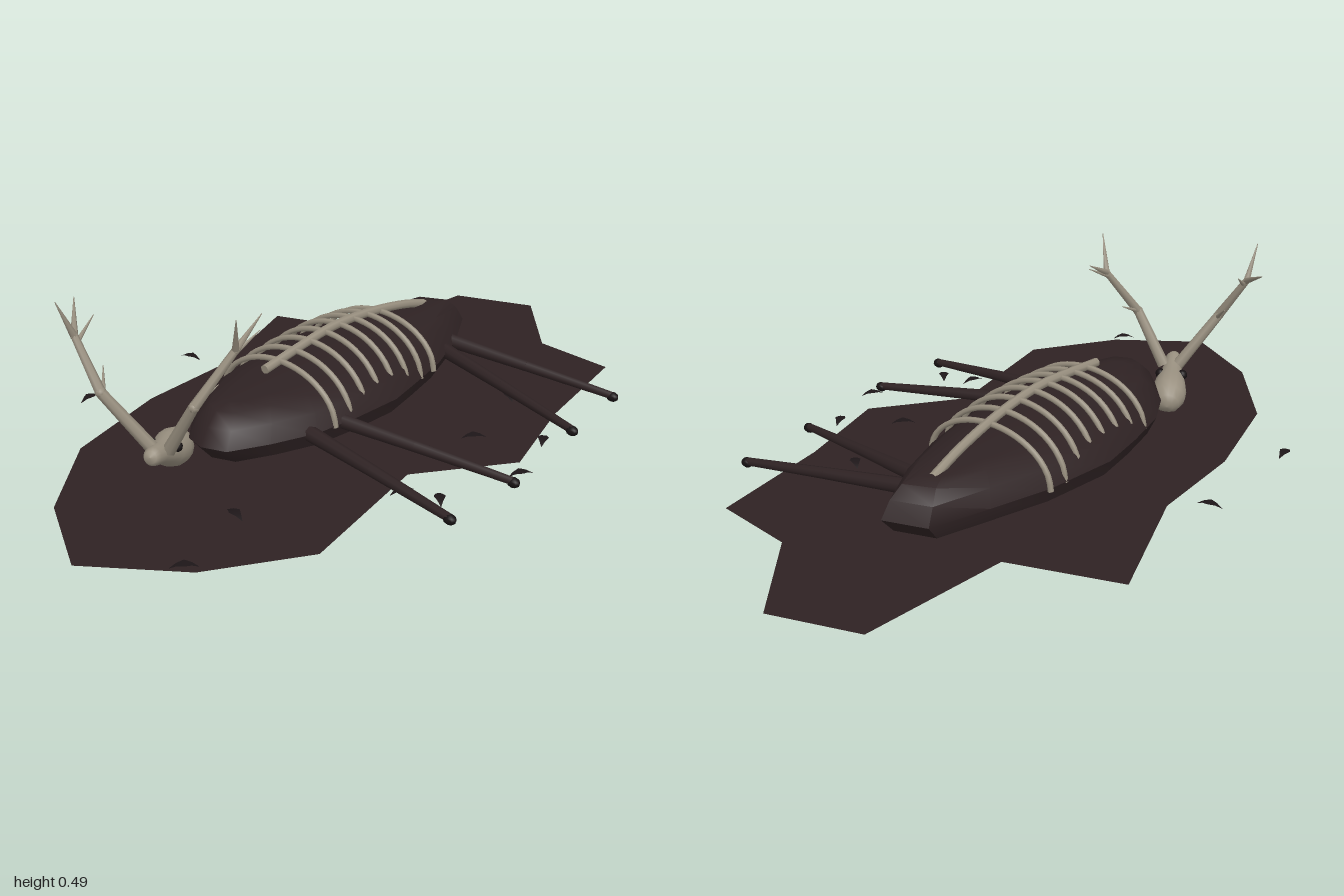
import * as THREE from 'three';
import { toCreasedNormals } from 'three/addons/utils/BufferGeometryUtils.js';

const material = (name, color, side = THREE.FrontSide) =>
  Object.assign(new THREE.MeshStandardMaterial({ color, side }), { name });
const V = (a) => new THREE.Vector3(...a);

export function createModel() {
  const root = new THREE.Group();
  const hide = material('dark hide', 0x2e2223);
  const stain = material('ground stain', 0x2e2223, THREE.DoubleSide);
  const bone = material('old bone', 0x999080);
  const black = material('soot black', 0x171213);
  const leafMat = material('dead leaf', 0x1d1618, THREE.DoubleSide);

  const add = (name, geometry, mat, parent = root) => {
    const mesh = new THREE.Mesh(geometry, mat);
    mesh.name = name;
    parent.add(mesh);
    return mesh;
  };
  const group = (name) => {
    const g = new THREE.Group();
    g.name = name;
    root.add(g);
    return g;
  };
  // Tapered rod between two points
  const rod = (name, from, to, r0, r1, mat, parent, sides = 7) => {
    const a = V(from), b = V(to), d = b.clone().sub(a);
    const mesh = add(name, new THREE.CylinderGeometry(r1, r0, d.length(), sides), mat, parent);
    mesh.position.copy(a).add(b).multiplyScalar(0.5);
    mesh.quaternion.setFromUnitVectors(new THREE.Vector3(0, 1, 0), d.normalize());
    return mesh;
  };

  // Jagged stain lying on the ground
  const edge = [[-1, 0], [-0.85, -0.23], [-0.6, -0.41], [-0.27, -0.48], [0.04, -0.48], [0.42, -0.6],
    [0.51, -0.3], [0.93, -0.24], [1, 0], [0.75, 0.19], [0.71, 0.43], [0.34, 0.47], [0.04, 0.54],
    [-0.19, 0.35], [-0.62, 0.41], [-0.85, 0.24]];
  const patch = new THREE.ShapeGeometry(new THREE.Shape(edge.map(([x, z]) => new THREE.Vector2(x, -z))));
  add('groundStain', patch.rotateX(-Math.PI / 2).translate(0, 0.014, 0), stain);

  // Carcass: one outline stacked in rings, flat below and rounded above
  const cx = 0.06, cz = -0.072;
  const outline = [[-0.5, -0.07], [-0.48, -0.13], [-0.38, -0.21], [-0.27, -0.26], [-0.12, -0.285], [0.03, -0.3],
    [0.25, -0.26], [0.42, -0.2], [0.585, -0.14], [0.62, -0.02], [0.46, 0.06], [0.3, 0.11], [0.16, 0.135],
    [0.03, 0.155], [-0.12, 0.14], [-0.26, 0.115], [-0.38, 0.06], [-0.48, 0]];
  const rings = [[0.04, 0, 0], [0.04, 0.93, 0.92], [0.085, 1, 1], [0.13, 0.95, 0.89], [0.163, 0.89, 0.68],
    [0.171, 0.8, 0.42], [0.172, 0, 0]];
  const n = outline.length, pos = [], idx = [];
  for (const [y, sx, sz] of rings)
    for (const [x, z] of outline) pos.push(cx + (x - cx) * sx, y, cz + (z - cz) * sz);
  for (let r = 0; r < rings.length - 1; r++)
    for (let i = 0; i < n; i++) {
      const a = r * n + i, b = r * n + (i + 1) % n;
      if (r > 0) idx.push(a, b + n, b);
      if (r < rings.length - 2) idx.push(a, a + n, b + n);
      if (r === 0) idx.splice(idx.length - 3, 3, a, a + n, b + n);
    }
  // Outline runs clockwise seen from above, so each triangle is flipped to face outward
  for (let i = 0; i < idx.length; i += 3) {
    const p = [0, 1, 2].map((k) => new THREE.Vector3().fromArray(pos, idx[i + k] * 3));
    const normal = p[1].clone().sub(p[0]).cross(p[2].clone().sub(p[0]));
    const out = p[0].add(p[1]).add(p[2]).divideScalar(3).sub(new THREE.Vector3(cx, 0.1, cz));
    if (normal.dot(out) < 0) [idx[i + 1], idx[i + 2]] = [idx[i + 2], idx[i + 1]];
  }
  const bodyGeo = new THREE.BufferGeometry();
  bodyGeo.setAttribute('position', new THREE.Float32BufferAttribute(pos, 3));
  bodyGeo.setIndex(idx);
  add('body', toCreasedNormals(bodyGeo, 0.75), hide);

  // Backbone and ribs
  const cage = group('ribCage');
  const spine = new THREE.CatmullRomCurve3([[-0.25, 0.212, -0.067], [-0.1, 0.23, -0.067], [0.03, 0.24, -0.068],
    [0.2, 0.228, -0.07], [0.38, 0.195, -0.074], [0.49, 0.163, -0.078]].map(V));
  add('spine', new THREE.TubeGeometry(spine, 24, 0.013, 7), bone, cage);
  rod('spineEnd', [-0.253, 0.212, -0.067], [-0.245, 0.213, -0.067], 0.013, 0.013, bone, cage);
  for (let i = 0; i < 8; i++) {
    const x = -0.197 + i * 0.0642;
    const top = spine.getPoint(THREE.MathUtils.clamp((x + 0.25) / 0.74, 0, 1)).y;
    const arc = [];
    for (let k = 0; k <= 12; k++) {
      const a = Math.PI * k / 12;
      arc.push(new THREE.Vector3(x, 0.08 + (top - 0.08) * Math.sin(a), -0.07 + 0.194 * Math.cos(a)));
    }
    add('rib', new THREE.TubeGeometry(new THREE.CatmullRomCurve3(arc), 24, 0.008, 6), bone, cage);
  }

  // Legs stretched out to the front, with hooves
  const legs = group('legs');
  for (const [x0, z0, x1, z1] of [[-0.265, 0.06, -0.328, 0.57], [-0.17, 0.06, -0.082, 0.595],
    [0.395, 0.04, 0.257, 0.57], [0.45, 0.03, 0.513, 0.555]]) {
    const mid = [(x0 + x1) / 2, 0.06, (z0 + z1) / 2];
    rod('upperLeg', [x0, 0.088, z0], mid, 0.022, 0.016, hide, legs, 8);
    rod('lowerLeg', mid, [x1, 0.03, z1], 0.016, 0.011, hide, legs, 8);
    const hoof = add('hoof', new THREE.SphereGeometry(0.014, 8, 6), black, legs);
    hoof.position.set(x1, 0.027, z1);
    hoof.scale.z = 1.3;
  }

  // Skull: a lathed egg lying on its side
  const head = group('head');
  const profile = [[0, 0], [0.016, 0.004], [0.024, 0.02], [0.027, 0.06], [0.034, 0.1], [0.045, 0.135],
    [0.051, 0.17], [0.049, 0.2], [0.035, 0.228], [0.018, 0.24], [0, 0.243]].map((p) => new THREE.Vector2(...p));
  const skull = add('skull', new THREE.LatheGeometry(profile, 16), bone, head);
  skull.position.set(-0.652, 0.11, -0.095);
  skull.quaternion.setFromUnitVectors(new THREE.Vector3(0, 1, 0), V([0.21, -0.075, -0.1]).normalize());
  for (const p of [[-0.54, 0.09, -0.113], [-0.568, 0.09, -0.172]])
    add('eyeSocket', new THREE.SphereGeometry(0.015, 10, 8), black, head).position.set(...p);

  // Antlers: list of rods [from, to, start radius, end radius]
  const antler = (name, base, bend, fork, tines) => {
    const g = group(name);
    rod('beam', base, bend, 0.018, 0.014, bone, g);
    rod('beam', bend, fork, 0.014, 0.01, bone, g);
    for (const p of [bend, fork])
      add('joint', new THREE.SphereGeometry(p === bend ? 0.0145 : 0.0105, 8, 6), bone, g).position.set(...p);
    for (const [from, to, r] of tines) rod('tine', from, to, r, 0.001, bone, g, 6);
  };
  antler('rightAntler', [-0.6, 0.1, -0.135], [-0.68, 0.26, -0.225], [-0.675, 0.385, -0.31], [
    [[-0.675, 0.385, -0.31], [-0.722, 0.487, -0.315], 0.01],
    [[-0.675, 0.385, -0.31], [-0.59, 0.44, -0.4], 0.01],
    [[-0.678, 0.37, -0.3], [-0.6, 0.415, -0.32], 0.007],
    [[-0.675, 0.25, -0.22], [-0.625, 0.3, -0.27], 0.007]]);
  antler('leftAntler', [-0.58, 0.1, -0.1], [-0.588, 0.25, 0], [-0.5, 0.385, 0.06], [
    [[-0.5, 0.385, 0.06], [-0.54, 0.487, 0.102], 0.01],
    [[-0.5, 0.385, 0.06], [-0.385, 0.44, 0.045], 0.01],
    [[-0.51, 0.37, 0.055], [-0.42, 0.415, 0.07], 0.007],
    [[-0.588, 0.25, 0], [-0.51, 0.285, 0.01], 0.007]]);

  // Curled fallen leaves: bent diamonds [x, z, turn, y]
  const leaves = group('leaves');
  const leafGeo = new THREE.PlaneGeometry(0.07, 0.03, 4, 2).rotateX(-Math.PI / 2);
  const lp = leafGeo.attributes.position;
  for (let i = 0; i < lp.count; i++) {
    const t = Math.abs(lp.getX(i)) / 0.035;
    lp.setZ(i, lp.getZ(i) * (1 - t));
    lp.setY(i, -0.012 * t * t);
  }
  leafGeo.computeVertexNormals();
  for (const [x, z, turn, y = 0.034] of [[-0.39, -0.6, 0], [-0.01, -0.575, -1.4], [-0.26, 0.495, 0.7],
    [-0.03, 0.585, -0.6], [0.165, 0.535, 0.4], [0.07, 0.38, -0.8], [-0.285, 0.4, -0.4], [0.34, 0.32, 0.9],
    [-0.86, 0.215, -0.8], [-0.62, 0.15, 1.3]]) {
    const leaf = add('leaf', leafGeo, leafMat, leaves);
    leaf.position.set(x, y, z);
    leaf.rotation.y = turn;
  }
  return root;
}
